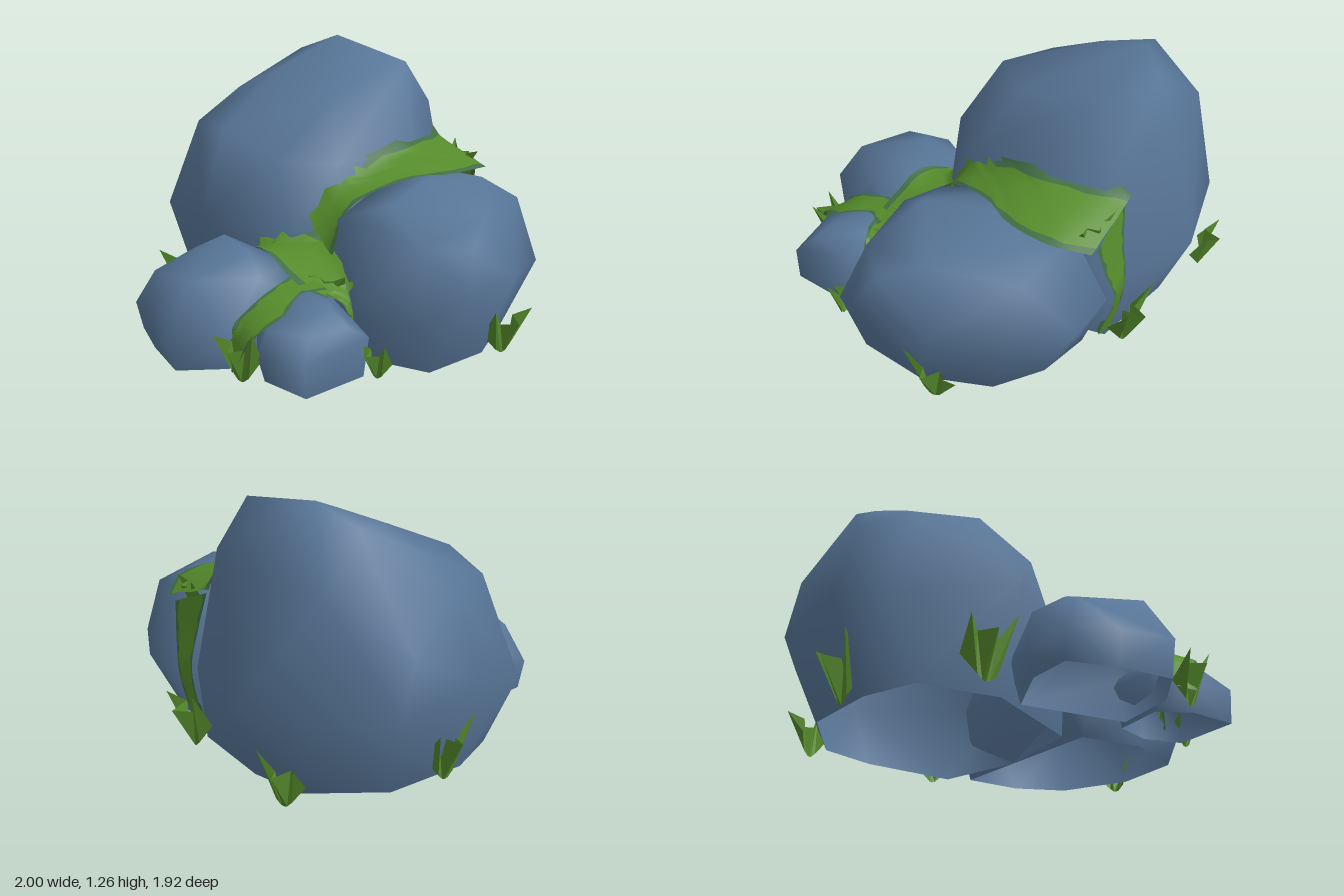
import * as THREE from 'three';
import { mergeVertices } from 'three/addons/utils/BufferGeometryUtils.js';
import { ConvexGeometry } from 'three/addons/geometries/ConvexGeometry.js';

const V = (p) => new THREE.Vector3(...p);

// Corner points of each boulder: base ring, widest ring, shoulder and crown
const ROCKS = {
  tallBoulder: [
    [-.84, .03, -.4], [-.62, .03, -.72], [-.35, .03, -.78], [.1, .03, -.76], [.22, .03, -.35], [.17, .03, .1], [-.35, .03, .34], [-.72, .04, .24], [-.83, .03, 0],
    [-1, .43, -.47], [-.79, .42, -.77], [-.37, .37, -.92], [.08, .4, -.81], [.28, .45, -.42], [.26, .45, 0], [.04, .48, .22], [-.32, .55, .46], [-.9, .42, .27], [-.98, .5, -.05],
    [-.98, .68, -.38], [-.87, .88, -.08], [-.74, .94, -.68], [-.37, .97, -.78], [0, .98, -.73], [.18, .82, -.35], [.12, .8, 0], [-.08, .82, .2], [-.42, .92, .26], [-.74, .88, .18],
    [-.76, 1.01, -.1], [-.68, 1.18, -.45], [-.48, 1.27, -.53], [-.38, 1.2, -.67], [-.02, 1.2, -.58], [-.06, 1.08, -.12], [-.55, 1.13, -.2],
  ],
  wideBoulder: [
    [.85, .03, .08], [.55, .03, .21], [.25, .03, .15], [.2, .03, -.7], [.47, .03, -.68], [.7, .03, -.56], [.86, .03, -.25],
    [.47, .35, -.85], [.78, .35, -.7], [.93, .4, -.38], [1, .42, 0], [.88, .28, .2], [.55, .28, .27], [.27, .25, .2], [.15, .4, 0], [.12, .4, -.6], [.2, .35, -.82],
    [.93, .59, -.1], [.82, .67, -.28], [.8, .6, .08], [.5, .65, .12], [.25, .6, .1], [.42, .75, -.3], [.35, .74, -.5], [.5, .72, -.6], [.66, .64, -.68], [.2, .72, -.3], [.5, .71, 0], [.25, .67, -.66],
  ],
  frontBoulder: [
    [-.37, .03, .6], [-.36, .04, .8], [-.14, .04, .88], [.1, .03, .93], [.24, .03, .74], [.28, .03, .42], [-.23, .03, .32],
    [-.39, .15, .57], [-.37, .18, .83], [-.15, .2, .9], [.1, .2, .96], [.27, .2, .76], [.33, .25, .58], [.3, .25, .34], [-.3, .2, .33],
    [-.36, .34, .58], [-.27, .36, .78], [.06, .42, .82], [.24, .42, .56], [.18, .42, .33], [-.2, .42, .36], [-.2, .45, .6], [-.1, .52, .5], [.1, .49, .5],
  ],
  smallBoulder: [
    [.7, .04, .34], [.7, .04, .67], [.44, .03, .69], [.3, .03, .6], [.32, .03, .35], [.5, .03, .3],
    [.7, .22, .31], [.7, .2, .68], [.43, .15, .72], [.27, .2, .6], [.28, .22, .35], [.5, .22, .27],
    [.66, .28, .4], [.64, .28, .6], [.45, .28, .68], [.32, .33, .58], [.34, .36, .4], [.57, .35, .42], [.56, .33, .56], [.45, .34, .32],
  ],
};

// Moss sheets in the crevices, each between two edge curves
const MOSS = {
  upperMoss: [
    [[.02, .79, -.79], [.12, .82, -.65], [.18, .83, -.4], [.15, .76, -.12], [.09, .7, .02], [.05, .56, .13]],
    [[.3, .7, -.81], [.41, .75, -.66], [.41, .76, -.42], [.34, .75, -.25], [.25, .66, .02], [.26, .45, .16]],
  ],
  backMoss: [
    [[.05, .76, -.78], [.08, .58, -.81], [.09, .4, -.84], [.08, .1, -.79]],
    [[.25, .68, -.8], [.21, .5, -.83], [.17, .36, -.85], [.19, .1, -.78]],
  ],
  middleMoss: [
    [[-.08, .42, .28], [.03, .46, .2], [.18, .47, .12], [.34, .43, .12], [.5, .34, .23]],
    [[-.08, .42, .33], [.03, .45, .37], [.2, .43, .38], [.36, .38, .38], [.5, .34, .36]],
  ],
  lowerMoss: [
    [[.27, .4, .32], [.28, .38, .45], [.3, .34, .6], [.28, .25, .71], [.28, .1, .76]],
    [[.44, .38, .34], [.39, .37, .45], [.45, .33, .6], [.42, .25, .74], [.35, .08, .8]],
  ],
  sideMoss: [
    [[.46, .38, .24], [.55, .3, .28], [.58, .18, .28], [.6, .05, .24]],
    [[.48, .37, .36], [.56, .33, .33], [.6, .2, .32], [.62, .05, .31]],
  ],
};

// Leaf tufts: x, y, z, outward heading, signed width (negative mirrors), height
const TUFTS = [
  [-.86, .02, -.12, -1.55, .22, .32],
  [-.5, .03, .44, -.1, .24, .31],
  [.75, .04, .3, .1, .15, .19],
  [.88, .01, -.36, 1.6, -.24, .25],
  [-.65, .02, -.82, 3.5, -.2, .26],
  [.06, .03, -.84, 3.1, .22, .3],
  [.36, .02, .75, .3, .2, .27],
  [.39, .33, .28, .5, .18, .09],
  [.22, .66, -.74, 2.9, .2, .14],
];

// Smooth hull that is hollow and open underneath
function rockGeometry(points) {
  let g = new ConvexGeometry(points.map(V));
  g.deleteAttribute('normal');
  g = mergeVertices(g, 1e-4);
  const pos = g.attributes.position, old = g.index.array, keep = [];
  for (let i = 0; i < old.length; i += 3) {
    const tri = [old[i], old[i + 1], old[i + 2]];
    if (tri.some((k) => pos.getY(k) > 0.06)) keep.push(...tri);
  }
  g.setIndex(keep);
  g.computeVertexNormals();
  return g;
}

// Moss sheet draped over the rocks; its thin rims get the second material
function mossGeometry(left, right, rocks) {
  const a = new THREE.CatmullRomCurve3(left.map(V)), b = new THREE.CatmullRomCurve3(right.map(V));
  const cols = [-0.12, 0, 0.2, 0.4, 0.6, 0.8, 1, 1.12], rows = 14, n = cols.length;
  const ray = new THREE.Raycaster(), down = new THREE.Vector3(0, -1, 0), verts = [];
  for (let i = 0; i <= rows; i++) {
    const p = a.getPoint(i / rows), q = b.getPoint(i / rows);
    cols.forEach((t, j) => {
      const v = p.clone().lerp(q, t);
      if (j > 0 && j < n - 1) v.x += 0.008 * Math.sin(i * 2.3 + j * 1.7);
      ray.set(new THREE.Vector3(v.x, 3, v.z), down);
      const hit = ray.intersectObjects(rocks)[0];
      if (hit) v.y = Math.max(v.y, Math.min(hit.point.y + 0.012, v.y + 0.045));
      verts.push(v.x, v.y, v.z);
    });
  }
  const g = new THREE.BufferGeometry(), inner = [], rim = [];
  for (let i = 0; i < rows; i++) {
    for (let j = 0; j < n - 1; j++) {
      const k = i * n + j;
      (j === 0 || j === n - 2 ? rim : inner).push(k, k + n, k + 1, k + 1, k + n, k + n + 1);
    }
  }
  g.setAttribute('position', new THREE.Float32BufferAttribute(verts, 3));
  g.setIndex([...inner, ...rim]);
  g.addGroup(0, inner.length, 0);
  g.addGroup(inner.length, rim.length, 1);
  g.computeVertexNormals();
  return g;
}

// Folded fan of broad leaves opening towards local +z, from a short root edge to a jagged rim
function tuftGeometry(width, height) {
  const rim = [[-.46, .38, -.03], [-.5, .84, .1], [-.22, .7, .02], [-.02, .66, .13], [.16, .62, .03], [.5, 1, .08], [.42, .4, -.04]];
  const pts = rim.map(([x, y, z]) => [x * width, y * height, z * height * 3]);
  const root = rim.map(([x]) => [x * width * 0.4, x * x * height * 0.4, 0.01]);
  const verts = [];
  for (let i = 0; i < pts.length - 1; i++) {
    verts.push(...root[i], ...root[i + 1], ...pts[i + 1], ...root[i], ...pts[i + 1], ...pts[i]);
  }
  const g = new THREE.BufferGeometry();
  g.setAttribute('position', new THREE.Float32BufferAttribute(verts, 3));
  // Mirrored tufts are wound the other way round
  if (width < 0) g.setIndex([...Array(verts.length / 3).keys()].reverse());
  return g.index ? flat(g.toNonIndexed()) : flat(g);
}

function flat(g) {
  g.computeVertexNormals();
  return g;
}

export function createModel() {
  const model = new THREE.Group();
  model.name = 'mossyBoulders';
  const material = (name, color) => {
    const m = new THREE.MeshStandardMaterial({ color, side: THREE.DoubleSide });
    m.name = name;
    return m;
  };
  const stone = material('blueStone', 0x587698);
  const grass = material('mossGreen', 0x568c2b);
  const rim = material('mossRimGreen', 0x426f45);
  const add = (name, geometry, mat) => {
    const mesh = new THREE.Mesh(geometry, mat);
    mesh.name = name;
    model.add(mesh);
    return mesh;
  };

  const rocks = Object.entries(ROCKS).map(([name, pts]) => add(name, rockGeometry(pts), stone));
  for (const [name, [l, r]] of Object.entries(MOSS)) add(name, mossGeometry(l, r, rocks), [grass, rim]);
  TUFTS.forEach(([x, y, z, heading, w, h], i) => {
    const tuft = add('leafTuft' + (i + 1), tuftGeometry(w, h), grass);
    tuft.position.set(x, y, z);
    tuft.rotation.y = heading;
  });
  return model;
}
